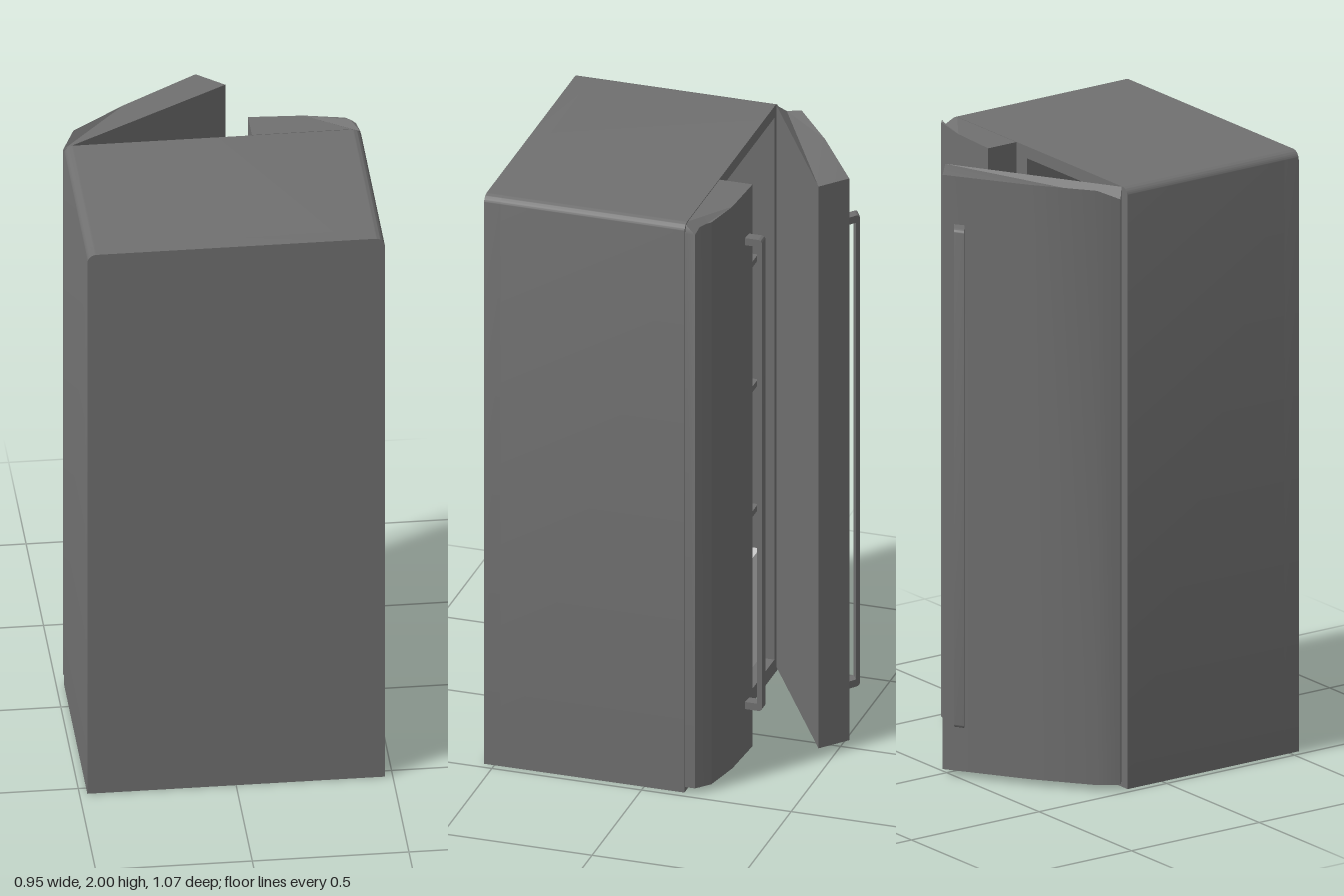
import * as THREE from 'three';
import { toCreasedNormals } from 'three/addons/utils/BufferGeometryUtils.js';

const dark = new THREE.MeshStandardMaterial({ color: 0x707070 });
const light = new THREE.MeshStandardMaterial({ color: 0xcccccc });
const CORNER = 0.03;

function add(parent, name, geometry, material = dark) {
  const mesh = new THREE.Mesh(geometry, material);
  mesh.name = name;
  parent.add(mesh);
  return mesh;
}

// Box given by its minimum and maximum corners
function box([x0, y0, z0], [x1, y1, z1]) {
  return new THREE.BoxGeometry(x1 - x0, y1 - y0, z1 - z0)
    .translate((x0 + x1) / 2, (y0 + y1) / 2, (z0 + z1) / 2);
}

// Cabinet outline: square at the bottom, rounded at the two top corners
function cabinetShape() {
  const w = 0.475, h = 2, r = CORNER;
  const s = new THREE.Shape();
  s.moveTo(-w, 0).lineTo(w, 0).lineTo(w, h - r);
  s.absarc(w - r, h - r, r, 0, Math.PI / 2, false);
  s.absarc(-w + r, h - r, r, Math.PI / 2, Math.PI, false);
  s.closePath();
  return s;
}

function extrudeZ(shape, z0, z1) {
  const g = new THREE.ExtrudeGeometry(shape, { depth: z1 - z0, bevelEnabled: false, curveSegments: 8 });
  return toCreasedNormals(g.translate(0, 0, z0), 0.6);
}

// Door: plan outline of [x, z] points raised along y, outer top corner rounded
function doorGeometry(plan) {
  const shape = new THREE.Shape(plan.map(([x, z]) => new THREE.Vector2(x, -z)));
  const g = new THREE.ExtrudeGeometry(shape, { depth: 1.98, bevelEnabled: false });
  g.rotateX(-Math.PI / 2).translate(0, 0.02, 0);
  const p = g.attributes.position;
  for (let i = 0; i < p.count; i++) {
    const d = Math.min(CORNER, Math.abs(p.getX(i)) - (0.475 - CORNER));
    if (p.getY(i) > 1 && d > 0) p.setY(i, 2 - CORNER + Math.sqrt(CORNER ** 2 - d * d));
  }
  return toCreasedNormals(g, 0.5);
}

// Handle: long bar on two short posts, side profile extruded across its width
function handleGeometry() {
  const out = 0.055, y0 = 0.18, y1 = 1.84, t = 0.016, r = 0.014;
  const s = new THREE.Shape();
  s.moveTo(-0.01, y0).lineTo(out - r, y0).quadraticCurveTo(out, y0, out, y0 + r);
  s.lineTo(out, y1 - r).quadraticCurveTo(out, y1, out - r, y1).lineTo(-0.01, y1);
  s.lineTo(-0.01, y1 - 0.025).lineTo(out - t, y1 - 0.025);
  s.lineTo(out - t, y0 + 0.025).lineTo(-0.01, y0 + 0.025);
  s.closePath();
  return extrudeZ(s, -0.018, 0.018);
}

function addHandle(parent, name, x, z, outward, across) {
  const m = new THREE.Matrix4().makeBasis(
    outward.normalize(), new THREE.Vector3(0, 1, 0), across.normalize()
  ).setPosition(x, 0, z);
  add(parent, name, handleGeometry().applyMatrix4(m));
}

export function createModel() {
  const model = new THREE.Group();
  model.name = 'refrigerator';

  // Cabinet: hollow front section and solid back wall
  const cabinet = new THREE.Group();
  cabinet.name = 'cabinet';
  model.add(cabinet);
  const frame = cabinetShape();
  frame.holes.push(new THREE.Path([
    [-0.435, 0.05], [-0.435, 1.96], [0.07, 1.96], [0.07, 0.05],
  ].map(([x, y]) => new THREE.Vector2(x, y))));
  add(cabinet, 'cabinetFrame', extrudeZ(frame, -0.135, 0.48));
  add(cabinet, 'backWall', extrudeZ(cabinetShape(), 0.48, 0.535));

  // Shelves and bottom drawer
  for (const y of [0.57, 1.01, 1.45]) {
    add(cabinet, 'shelf', box([-0.435, y, -0.08], [0.07, y + 0.02, 0.48]));
  }
  add(cabinet, 'drawer', box([-0.425, 0.055, -0.09], [0.06, 0.44, 0.45]), light);

  // Closed narrow door
  const closedDoor = new THREE.Group();
  closedDoor.name = 'closedDoor';
  model.add(closedDoor);
  add(closedDoor, 'closedDoorPanel', doorGeometry([
    [0.125, -0.137], [0.125, -0.247], [0.3, -0.237], [0.43, -0.21], [0.445, -0.197],
    [0.462, -0.182], [0.475, -0.17], [0.475, -0.137], [0.462, -0.137], [0.445, -0.137],
  ]));
  addHandle(closedDoor, 'closedDoorHandle', 0.172, -0.245,
    new THREE.Vector3(0, 0, -1), new THREE.Vector3(1, 0, 0));

  // Wide door standing ajar
  const openDoor = new THREE.Group();
  openDoor.name = 'openDoor';
  model.add(openDoor);
  add(openDoor, 'openDoorPanel', doorGeometry([
    [-0.446, -0.138], [-0.475, -0.163], [-0.435, -0.226], [-0.26, -0.362],
    [-0.012, -0.525], [0.075, -0.451],
  ]));
  addHandle(openDoor, 'openDoorHandle', -0.06, -0.494,
    new THREE.Vector3(-0.8, 0, -0.6), new THREE.Vector3(0.86, 0, -0.5));

  return model;
}
